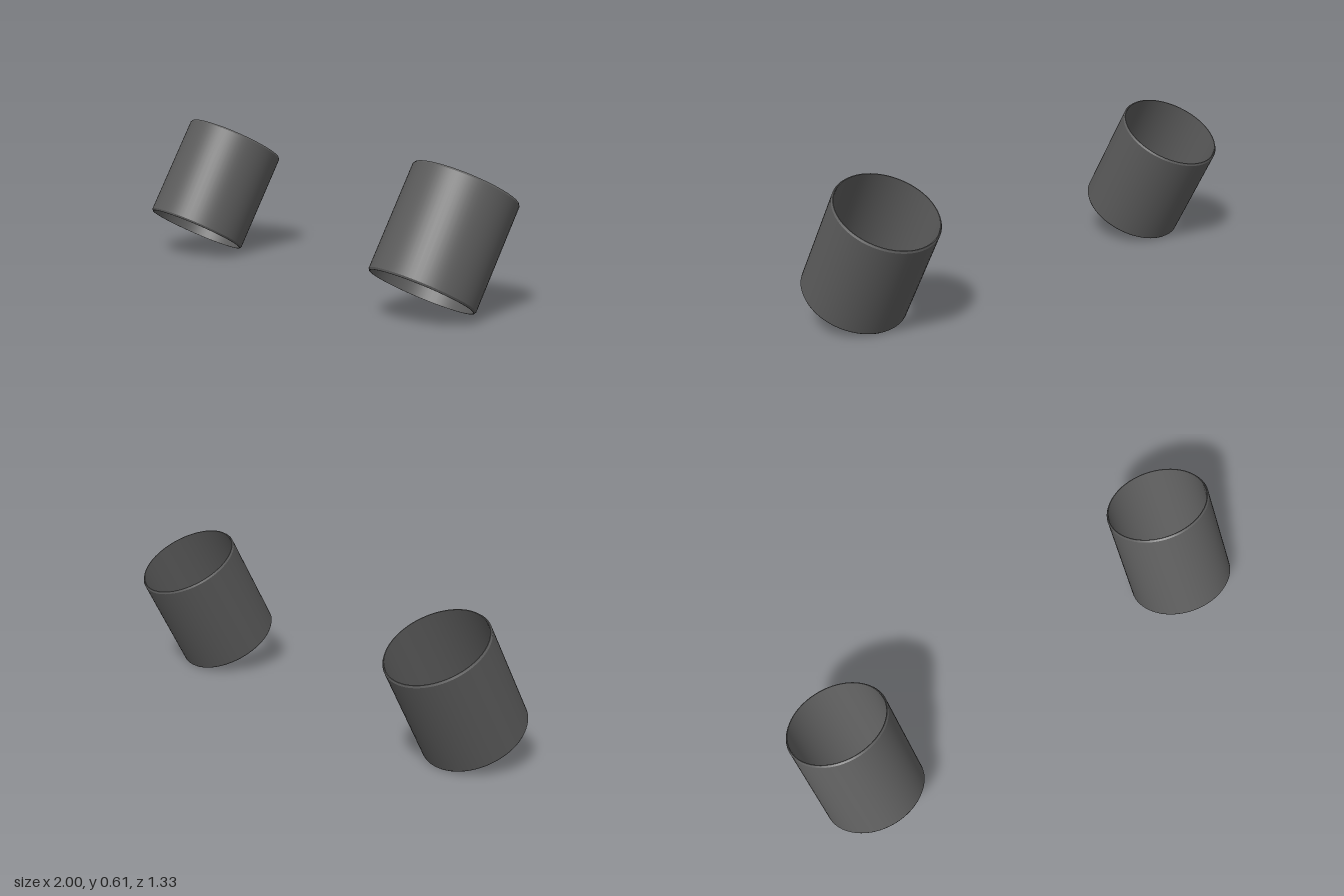
import * as THREE from 'three';
import { toCreasedNormals } from 'three/addons/utils/BufferGeometryUtils.js';

export function createModel() {
  const group = new THREE.Group();
  const material = new THREE.MeshStandardMaterial({ color: 0x5c5c5c });

  // Thin-walled open sleeve with softly chamfered rims
  const outer = 0.2225, inner = 0.214, half = 0.228, bevel = 0.008;
  const profile = [
    [inner, -half], [outer - 0.005, -half], [outer, -half + bevel],
    [outer, half - bevel], [outer - 0.005, half], [inner, half], [inner, -half],
  ].map(([r, y]) => new THREE.Vector2(r, y));
  const geometry = toCreasedNormals(new THREE.LatheGeometry(profile, 64), 0.45);

  // Both sleeves lean the same way, towards +x and the back
  const axis = new THREE.Vector3(0.097, 0.4, -0.197).normalize();
  const tilt = new THREE.Quaternion().setFromUnitVectors(new THREE.Vector3(0, 1, 0), axis);

  for (const [name, side] of [['leftSleeve', 1], ['rightSleeve', -1]]) {
    const sleeve = new THREE.Mesh(geometry, material);
    sleeve.name = name;
    sleeve.quaternion.copy(tilt);
    sleeve.position.set(side * 0.734, 0.304, side * 0.369);
    group.add(sleeve);
  }
  return group;
}
